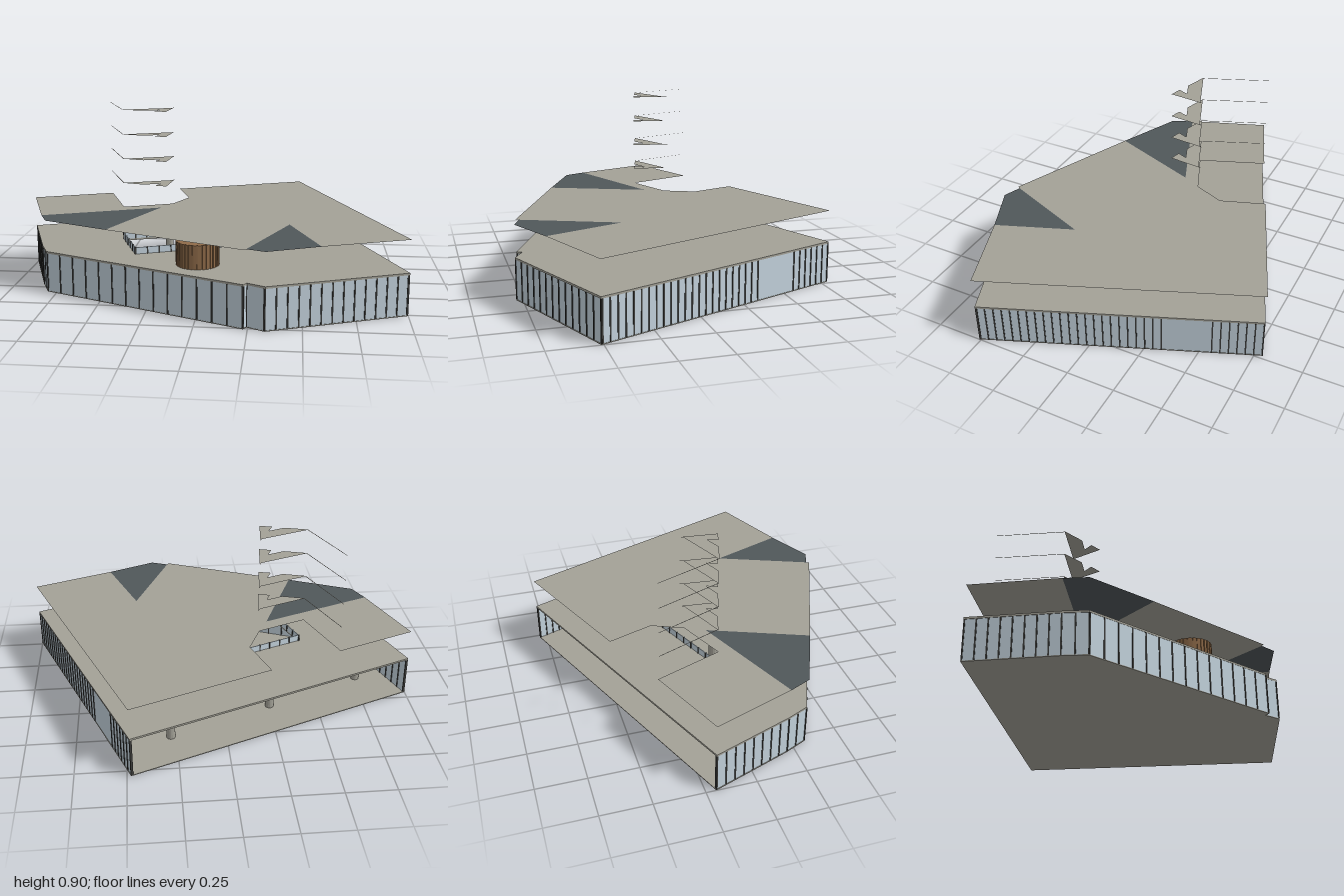
import * as THREE from 'three';

const mat = (color, side = THREE.FrontSide) =>
  new THREE.MeshStandardMaterial({ color, side, flatShading: true });
const stone = mat(0xa3a197);
const sheet = mat(0xa3a197, THREE.DoubleSide);
const darkSheet = mat(0x50575a, THREE.DoubleSide);
const glass = mat(0xc4d3dd);
const frame = mat(0x3c3c3a);
const wood = mat(0x8f6b49);

const TILT = Math.atan2(0.59, 1.48); // plan rotation shared by the rectangular parts
const SLAB = 0.213, ROOF = 0.375, STOREY = 0.131;

// plan corners as [x, z]
const footprint = [[-1, -0.2], [0.48, -0.79], [1, 0.51], [0.33, 0.78], [0.245, 0.735],
  [0.23, 0.76], [-0.8, 0.32], [-0.85, 0.21]];

const toShape = pts => new THREE.Shape(pts.map(p => new THREE.Vector2(p[0], p[1])));

// local rectangle turned into plan corners
function rectangle(cx, cz, a, b) {
  const c = Math.cos(TILT), s = Math.sin(TILT);
  return [[-1, -1], [1, -1], [1, 1], [-1, 1]].map(([i, j]) => {
    const u = i * a / 2, v = j * b / 2;
    return [cx + u * c + v * s, cz - u * s + v * c];
  });
}

function add(parent, name, geometry, material, x = 0, y = 0, z = 0) {
  const m = new THREE.Mesh(geometry, material);
  m.name = name;
  m.position.set(x, y, z);
  parent.add(m);
  return m;
}

// zero-thickness horizontal sheet
function plate(parent, name, pts, y, material) {
  return add(parent, name, new THREE.ShapeGeometry(toShape(pts)).rotateX(Math.PI / 2), material, 0, y, 0);
}

// slab whose top lies at y
function slab(parent, name, pts, y, depth, hole) {
  const shape = toShape(pts);
  if (hole) shape.holes.push(toShape(hole));
  const g = new THREE.ExtrudeGeometry(shape, { depth, bevelEnabled: false }).rotateX(Math.PI / 2);
  return add(parent, name, g, stone, 0, y, 0);
}

// upright panel from p to q with mullions at the given fractions
function wall(parent, name, p, q, y0, y1, stops, thick = 0.006) {
  const dx = q[0] - p[0], dz = q[1] - p[1], len = Math.hypot(dx, dz);
  const g = new THREE.Group();
  g.name = name;
  g.position.set((p[0] + q[0]) / 2, (y0 + y1) / 2, (p[1] + q[1]) / 2);
  g.rotation.y = -Math.atan2(dz, dx);
  add(g, 'glassPane', new THREE.BoxGeometry(len, y1 - y0, thick), glass);
  for (const t of stops)
    add(g, 'mullion', new THREE.BoxGeometry(0.007, y1 - y0, thick + 0.006), frame, (t - 0.5) * len);
  parent.add(g);
}

const stops = (n, keep = () => true) =>
  Array.from({ length: n + 1 }, (_, i) => i / n).filter(keep);

export function createModel() {
  const model = new THREE.Group();
  model.name = 'building';

  // ground floor and first-floor slab with the atrium opening
  const atrium = rectangle(-0.14, 0.08, 0.549, 0.299);
  slab(model, 'groundFloor', footprint, 0.004, 0.004);
  slab(model, 'firstFloorSlab', footprint, SLAB, 0.01, atrium);

  // glazed facade on every side but the open back
  const facade = new THREE.Group();
  facade.name = 'facade';
  const inset = footprint.map(([x, z]) => [x * 0.993, z * 0.993]);
  const counts = [0, 34, 13, 1, 1, 14, 2, 8];
  for (let i = 1; i < inset.length; i++) {
    const keep = i === 1 ? t => t < 0.18 || t > 0.34 : undefined;
    wall(facade, 'facadeWall', inset[i], inset[(i + 1) % inset.length], 0.004, 0.203, stops(counts[i], keep));
  }
  model.add(facade);

  // columns behind the open back
  for (const [x, z] of [[0.28, -0.5], [-0.25, -0.27], [-0.76, -0.04]])
    add(model, 'column', new THREE.CylinderGeometry(0.022, 0.022, 0.2, 16), stone, x, 0.103, z);

  // glass railing around the atrium
  const railing = new THREE.Group();
  railing.name = 'railing';
  atrium.forEach((p, i) =>
    wall(railing, 'railingSide', p, atrium[(i + 1) % 4], SLAB, 0.247, stops(i % 2 ? 5 : 9), 0.004));
  model.add(railing);

  // round timber room, clad in upright boards
  const drum = new THREE.Group();
  drum.name = 'timberRoom';
  add(drum, 'timberCore', new THREE.CylinderGeometry(0.102, 0.102, 0.33, 32), wood, 0, 0.167, 0);
  for (let i = 0; i < 32; i++) {
    const a = i / 32 * Math.PI * 2;
    const b = add(drum, 'board', new THREE.BoxGeometry(0.014, 0.33, 0.008), wood,
      Math.sin(a) * 0.102, 0.167, Math.cos(a) * 0.102);
    b.rotation.y = a;
  }
  drum.position.set(-0.01, 0, 0.455);
  model.add(drum);

  // pillar with a flared head that carries the roof
  const pillar = new THREE.Group();
  pillar.name = 'flaredPillar';
  pillar.position.set(-0.13, 0, 0.065);
  pillar.rotation.y = TILT;
  add(pillar, 'shaft', new THREE.CylinderGeometry(0.027, 0.027, 0.3, 16), stone, 0, 0.15, 0);
  add(pillar, 'headBand', new THREE.BoxGeometry(0.292, 0.03, 0.239), stone, 0, 0.359, 0);
  const flare = new THREE.BoxGeometry(1, 0.054, 1);
  const pos = flare.attributes.position;
  for (let i = 0; i < pos.count; i++) {
    const top = pos.getY(i) > 0;
    pos.setX(i, pos.getX(i) * (top ? 0.292 : 0.05));
    pos.setZ(i, pos.getZ(i) * (top ? 0.239 : 0.05));
  }
  flare.computeVertexNormals();
  add(pillar, 'headFlare', flare, stone, 0, 0.317, 0);
  model.add(pillar);

  // roof sheet with a notch in its back edge and two bays filled by dark panels
  const roof = [[-1, -0.2], [-0.59, -0.36], [-0.46, -0.02], [-0.21, -0.12], [-0.14, -0.28],
    [-0.22, -0.51], [0.48, -0.79], [1, 0.51], [0.58, 0.67], [0.43, 0.28], [0.24, 0.745],
    [0.23, 0.76], [-0.46, 0.47], [-0.26, -0.02], [-0.85, 0.21]];
  plate(model, 'roof', roof, ROOF, sheet);
  plate(model, 'darkRoofPanelRight', [[-0.85, 0.21], [-0.26, -0.02], [-0.46, 0.47], [-0.8, 0.32]], ROOF, darkSheet);
  plate(model, 'darkRoofPanelLeft', [[0.43, 0.28], [0.58, 0.67], [0.33, 0.78], [0.24, 0.745]], ROOF, darkSheet);

  // stacked landings above the notch, each with a sliver along the notch edge
  const landing = [[-0.59, -0.355], [-0.457, -0.025], [-0.21, -0.12], [-0.2, -0.14], [-0.22, 0.05],
    [-0.283, 0.033], [-0.26, -0.02], [-0.345, 0.013], [-0.46, -0.02], [-0.592, -0.35]];
  for (let k = 1; k <= 4; k++)
    plate(model, 'landing', landing, ROOF + k * STOREY, sheet);

  return model;
}
